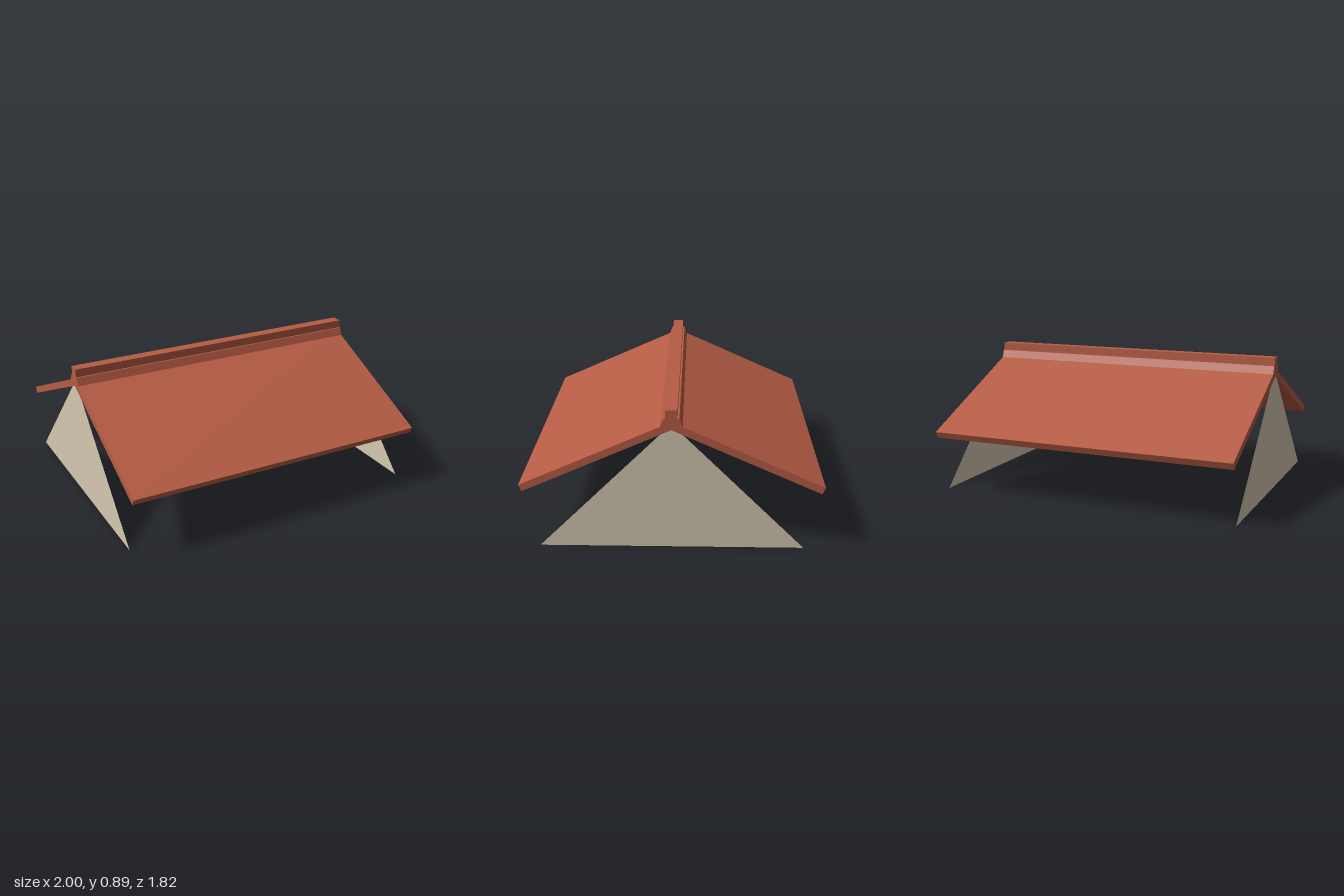
import * as THREE from 'three';

const terracotta = new THREE.MeshStandardMaterial({ color: 0xb65c44 });
terracotta.name = 'terracotta';
const plaster = new THREE.MeshStandardMaterial({ color: 0xd4c8b1, side: THREE.DoubleSide });
plaster.name = 'cream plaster';

// Closed shape from [z, y] points
function profile(points) {
  return new THREE.Shape(points.map(([z, y]) => new THREE.Vector2(z, y)));
}

// Extrudes a [z, y] profile along the full length of the roof
function alongRoof(name, points) {
  const geo = new THREE.ExtrudeGeometry(profile(points), { depth: 2, bevelEnabled: false });
  geo.translate(0, 0, -1);
  geo.rotateY(-Math.PI / 2);
  const mesh = new THREE.Mesh(geo, terracotta);
  mesh.name = name;
  return mesh;
}

export function createModel() {
  const group = new THREE.Group();
  group.name = 'gableRoof';

  // Sloping roof slabs, meeting at the ridge
  const slab = [[0, 0.765], [0.893, 0.365], [0.912, 0.406], [0, 0.814]];
  group.add(alongRoof('frontRoofSlab', slab));
  group.add(alongRoof('backRoofSlab', slab.map(([z, y]) => [-z, y]).reverse()));

  // Ridge cap: flared skirt with a narrow upright strip on top
  group.add(alongRoof('ridgeCap', [
    [-0.066, 0.785], [0.066, 0.785], [0.047, 0.835], [0.036, 0.835],
    [0.036, 0.887], [-0.036, 0.887], [-0.036, 0.835], [-0.047, 0.835],
  ]));

  // Flat triangular gable walls at both ends
  for (const side of [1, -1]) {
    const geo = new THREE.ShapeGeometry(profile([[-0.8, 0], [0.8, 0], [0, 0.8]]));
    geo.rotateY(side * Math.PI / 2);
    const gable = new THREE.Mesh(geo, plaster);
    gable.name = side > 0 ? 'leftGable' : 'rightGable';
    gable.position.x = side * 0.993;
    group.add(gable);
  }
  return group;
}
